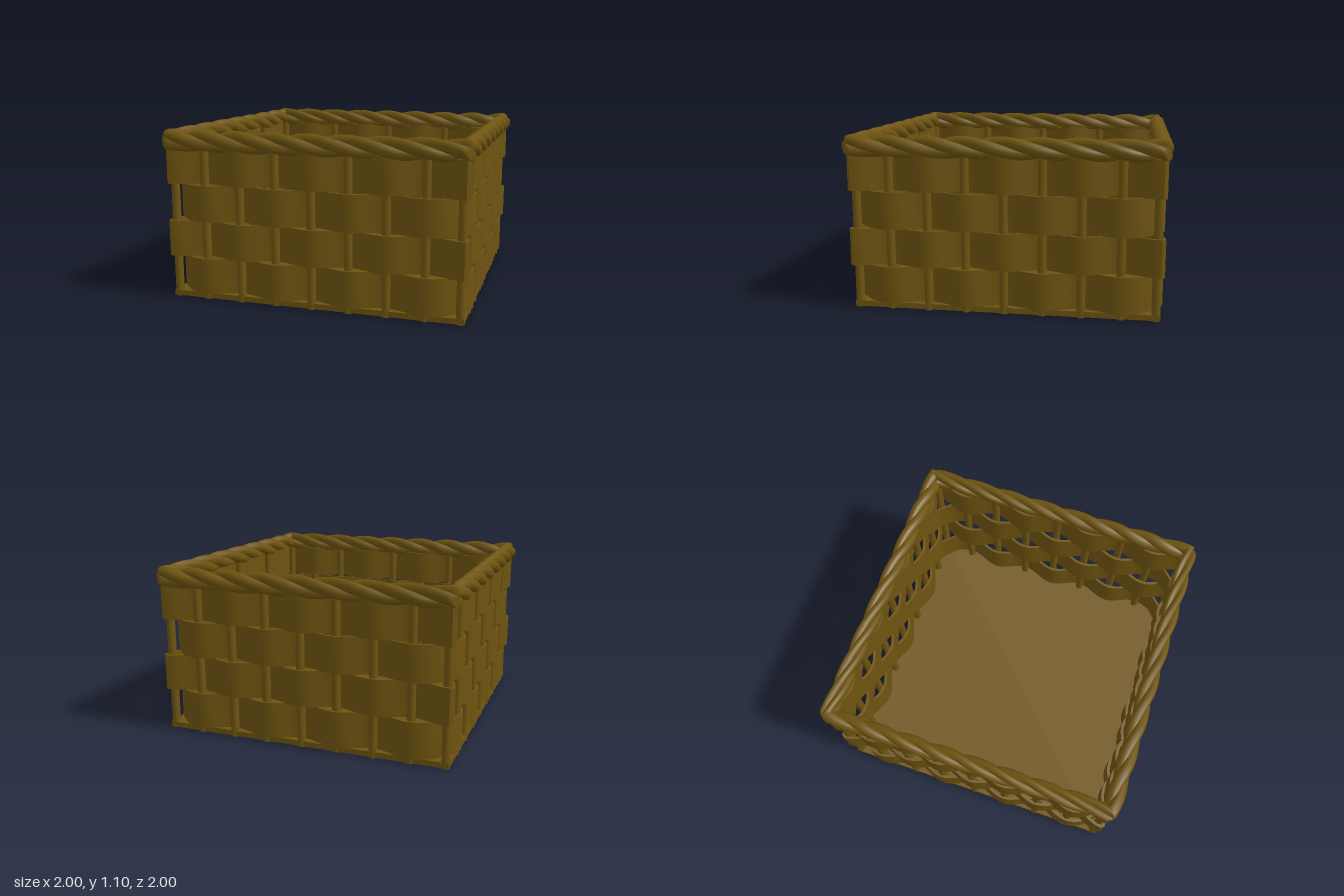
import * as THREE from 'three';
import { toCreasedNormals } from 'three/addons/utils/BufferGeometryUtils.js';
import { ParametricGeometry } from 'three/addons/geometries/ParametricGeometry.js';

const PITCH = 0.237;   // spacing of the stakes
const WALL = 0.925;    // distance of the wall from the centre
const RIM = 0.942;     // distance of the rope rim from the centre
const wicker = new THREE.MeshStandardMaterial({ color: 0x6e5410 });

function add(parent, geometry, name, x = 0, y = 0, z = 0) {
  const mesh = new THREE.Mesh(geometry, wicker);
  mesh.name = name;
  mesh.position.set(x, y, z);
  parent.add(mesh);
  return mesh;
}

// Closed wavy outline round the four walls, shifted outwards by offset
function weaveLoop(cornerOutside, offset) {
  const points = [];
  const reach = cornerOutside ? 4 : 3.5;
  const sign = cornerOutside ? 1 : -1;
  const steps = reach * 16;
  for (let side = 0; side < 4; side++) {
    for (let i = 0; i <= steps; i++) {
      const k = -reach + (2 * reach * i) / steps;
      const wave = sign * 0.035 * Math.cos(Math.PI * k);
      points.push(new THREE.Vector2(k * PITCH, -(WALL + wave + offset))
        .rotateAround(new THREE.Vector2(), side * Math.PI / 2));
    }
  }
  return points;
}

function bandGeometry(cornerOutside, height) {
  const shape = new THREE.Shape(weaveLoop(cornerOutside, 0.01));
  shape.holes.push(new THREE.Path(weaveLoop(cornerOutside, -0.01)));
  const geometry = new THREE.ExtrudeGeometry(shape, { depth: height, bevelEnabled: false });
  geometry.rotateX(-Math.PI / 2);
  return toCreasedNormals(geometry, 0.6);
}

// One strand of the rope, twisting round the square rim with mitred corners
function strandGeometry(phase) {
  const point = (u, v, target) => {
    const along = u * 4;
    const side = Math.min(3, Math.floor(along + 1e-9));
    const twist = along * Math.PI * 2 * (8 / 3) + phase;
    const a = v * Math.PI * 2;
    const out = RIM + 0.84 * (0.031 * Math.sin(twist) + 0.039 * Math.cos(a));
    const y = 1.03 + 0.031 * Math.cos(twist) + 0.039 * Math.sin(a);
    let x = ((along - side) * 2 - 1) * out;
    let z = out;
    // blunt the outer corners
    const excess = Math.max(0, Math.abs(x) + z - 1.94) / 2;
    x -= Math.sign(x) * excess;
    z -= excess;
    target.set(x, y, z).applyAxisAngle(new THREE.Vector3(0, 1, 0), side * Math.PI / 2);
  };
  return new ParametricGeometry(point, 288, 12);
}

export function createModel() {
  const basket = new THREE.Group();
  basket.name = 'basket';

  // Floor plate
  add(basket, new THREE.BoxGeometry(1.9, 0.035, 1.9), 'base', 0, 0.0275, 0);

  // Upright stakes: seven along each side and one in each corner
  const stakes = new THREE.Group();
  stakes.name = 'stakes';
  basket.add(stakes);
  const stake = new THREE.CylinderGeometry(0.027, 0.027, 1.02, 12);
  for (let side = 0; side < 4; side++) {
    const wall = new THREE.Group();
    wall.name = 'sideStakes';
    wall.rotation.y = side * Math.PI / 2;
    stakes.add(wall);
    for (let k = -3; k <= 3; k++) add(wall, stake, 'stake', k * PITCH, 0.515, 0.93);
    add(wall, stake, 'cornerStake', 0.925, 0.515, 0.925);
  }

  // Four woven bands, passing the stakes alternately inside and outside
  for (let row = 0; row < 4; row++) {
    add(basket, bandGeometry(row % 2 === 1, 0.233), 'wovenBand', 0, 0.043 + row * 0.2365, 0);
  }

  // Three-strand rope rim
  const rim = new THREE.Group();
  rim.name = 'ropeRim';
  basket.add(rim);
  for (let i = 0; i < 3; i++) add(rim, strandGeometry(i * Math.PI * 2 / 3), 'ropeStrand');

  return basket;
}
